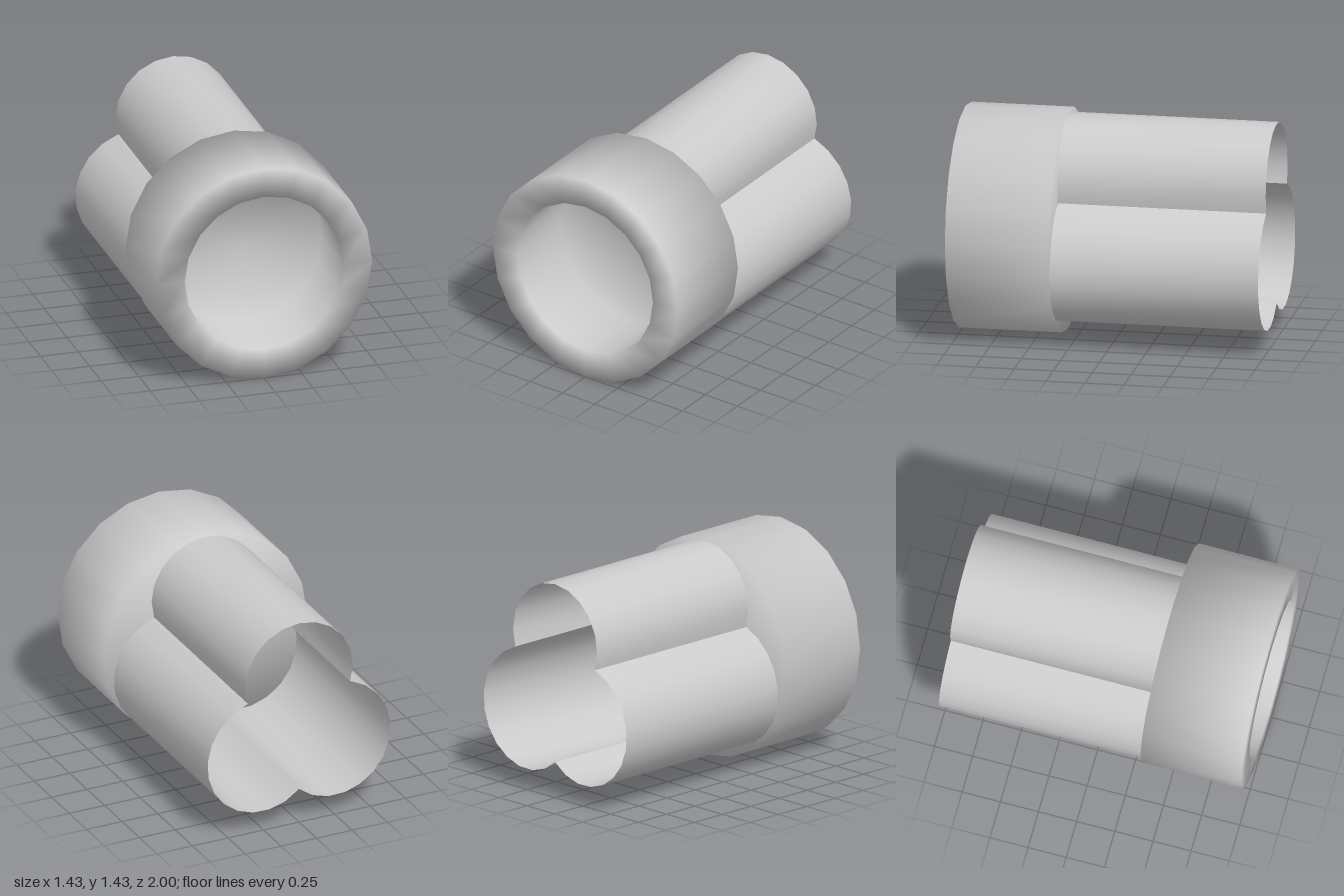
import * as THREE from 'three';

const AXIS_Y = 0.715;
const JOINT_Z = 0.34;

// Points on an arc running from one crease to the next around a lobe centre
function arc(cx, cy, from, to, steps = 12) {
  const start = Math.atan2(from[1] - cy, from[0] - cx);
  let end = Math.atan2(to[1] - cy, to[0] - cx);
  if (end <= start) end += Math.PI * 2;
  const r0 = Math.hypot(from[0] - cx, from[1] - cy);
  const r1 = Math.hypot(to[0] - cx, to[1] - cy);
  const points = [];
  for (let i = 0; i <= steps; i++) {
    const t = i / steps;
    const a = start + (end - start) * t;
    // radius swells to the lobe size between the creases
    const ends = r0 + (r1 - r0) * t;
    const r = ends + (0.392 - ends) * Math.min(1, 4 * t * (1 - t));
    points.push([cx + r * Math.cos(a), cy + r * Math.sin(a)]);
  }
  return points;
}

// Open strip swept along z; smooth inside each lobe, sharp between lobes
function lobeWall(points, z0, z1) {
  const pos = [], index = [];
  points.forEach(([x, y], i) => {
    pos.push(x, y, z0, x, y, z1);
    if (i > 0) {
      const a = 2 * i - 2;
      index.push(a, a + 2, a + 1, a + 1, a + 2, a + 3);
    }
  });
  const geometry = new THREE.BufferGeometry();
  geometry.setAttribute('position', new THREE.Float32BufferAttribute(pos, 3));
  geometry.setIndex(index);
  geometry.computeVertexNormals();
  return geometry;
}

export function createModel() {
  const group = new THREE.Group();
  const material = new THREE.MeshStandardMaterial({ color: 0xcccccc, side: THREE.DoubleSide });

  // Thick collar: closed back, flat front rim and a recessed mouth
  const profile = [[0, JOINT_Z], [0.715, JOINT_Z], [0.715, 1], [0.523, 1], [0.523, 0.53], [0, 0.53]]
    .map(([r, z]) => new THREE.Vector2(r, z));
  const collar = new THREE.Mesh(new THREE.LatheGeometry(profile, 20), material);
  collar.name = 'collar';
  collar.rotation.x = Math.PI / 2;
  collar.position.y = AXIS_Y;
  group.add(collar);

  // Hollow three-lobed shaft, open at the back
  const right = [0.36, 0.92], left = [-0.36, 0.92], bottom = [0, 0.235];
  const lobes = [
    ['topLobe', 0, 1.018, right, left],
    ['rightLobe', -0.252, 0.525, left, bottom],
    ['leftLobe', 0.252, 0.525, bottom, right],
  ];
  const shaft = new THREE.Group();
  shaft.name = 'shaft';
  for (const [name, cx, cy, from, to] of lobes) {
    const wall = new THREE.Mesh(lobeWall(arc(cx, cy, from, to), -1, JOINT_Z), material);
    wall.name = name;
    shaft.add(wall);
  }
  group.add(shaft);

  return group;
}
